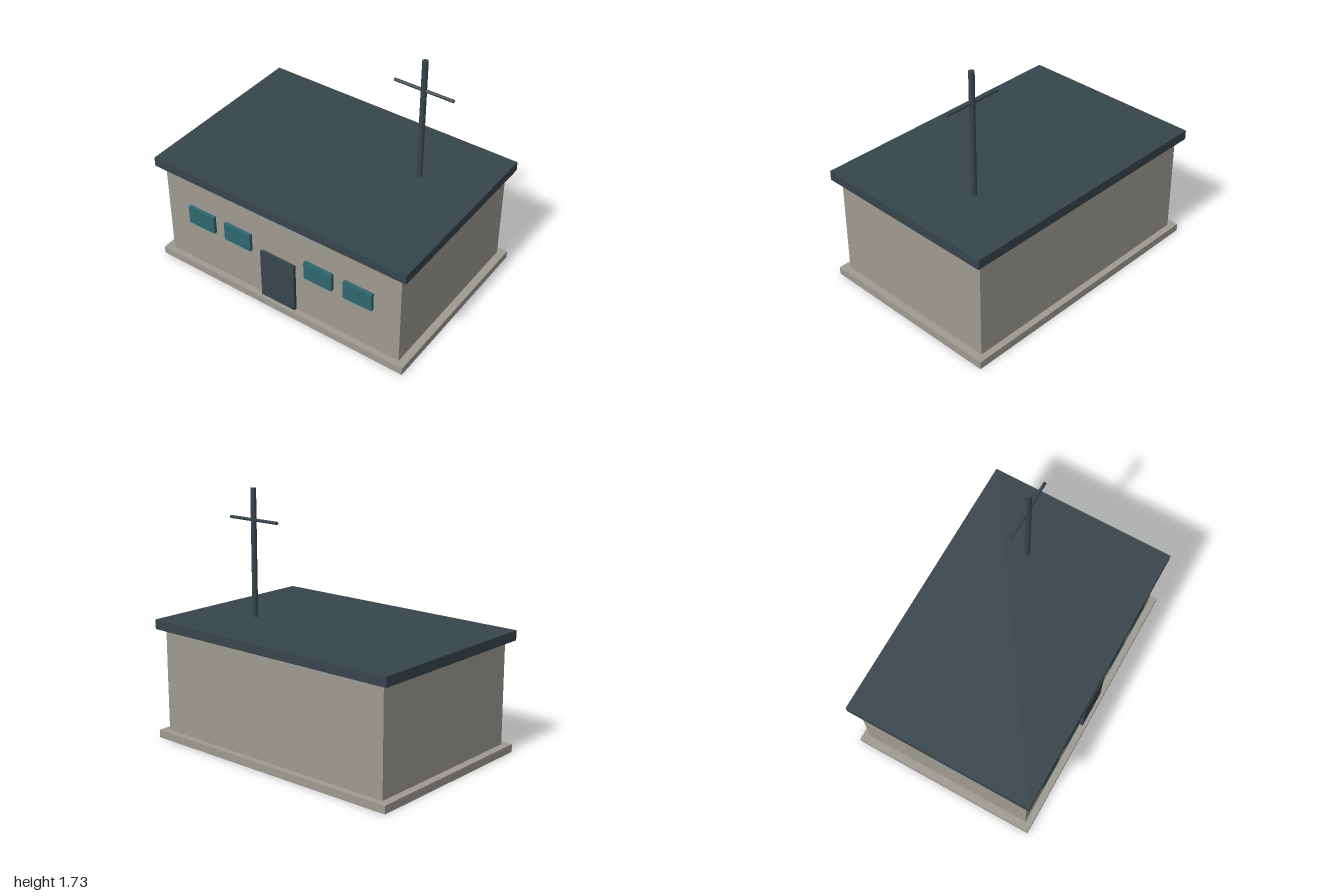
import * as THREE from 'three';

export function createModel() {
  const model = new THREE.Group();
  model.name = 'flatRoofBuilding';

  const mat = (name, color) => {
    const m = new THREE.MeshStandardMaterial({ color });
    m.name = name;
    return m;
  };
  const stone = mat('warmGreyWall', 0x9e9b91);
  const slate = mat('darkSlate', 0x37454b);
  const glass = mat('tealGlass', 0x2f6870);

  const add = (name, geometry, material, x, y, z) => {
    const mesh = new THREE.Mesh(geometry, material);
    mesh.name = name;
    mesh.position.set(x, y, z);
    model.add(mesh);
    return mesh;
  };
  // Box given by its size, bottom height and centre
  const box = (name, material, w, h, d, x, bottom, z) =>
    add(name, new THREE.BoxGeometry(w, h, d), material, x, bottom + h / 2, z);

  // Main body
  box('plinth', stone, 2, 0.055, 1.364, 0, 0, 0);
  box('walls', stone, 1.89, 0.725, 1.272, 0, 0.055, 0);
  box('roof', slate, 2, 0.068, 1.364, 0, 0.778, 0);

  // Door and windows stand slightly proud of the front wall
  box('door', slate, 0.274, 0.385, 0.04, -0.002, 0.055, 0.639);
  [-0.639, -0.331, 0.327, 0.635].forEach((x, i) =>
    box('window' + (i + 1), glass, 0.219, 0.136, 0.04, x, 0.393, 0.64));

  // Roof mast with a thin crossbar
  const mastX = 0.543, mastZ = -0.183;
  add('mast', new THREE.CylinderGeometry(0.02, 0.02, 0.89, 12), slate, mastX, 1.285, mastZ);
  const bar = add('crossbar', new THREE.CylinderGeometry(0.011, 0.011, 0.434, 8), slate, mastX, 1.515, mastZ);
  bar.rotation.z = Math.PI / 2;

  return model;
}
